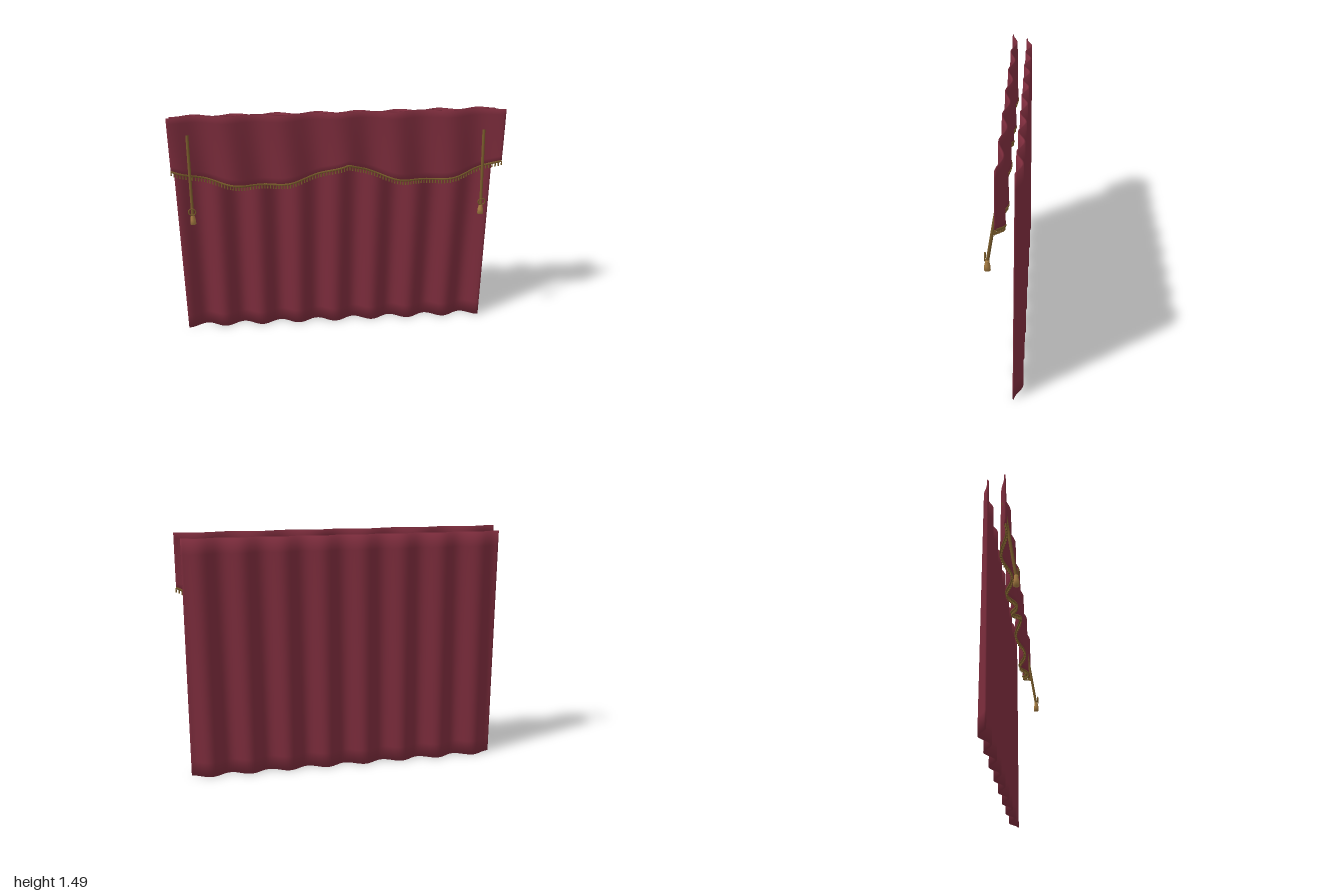
import * as THREE from 'three';
import { mergeGeometries, mergeVertices } from 'three/addons/utils/BufferGeometryUtils.js';

const red = new THREE.MeshStandardMaterial({ color: 0x7c2c3c });
red.name = 'burgundy velvet';
const olive = new THREE.MeshStandardMaterial({ color: 0x76592a });
olive.name = 'dull gold cord';
const gold = new THREE.MeshStandardMaterial({ color: 0xa67c42 });
gold.name = 'gold tassel';

function part(name, geometry, material) {
  const mesh = new THREE.Mesh(geometry, material);
  mesh.name = name;
  return mesh;
}

// Thin closed cloth slab; place(u, v) gives the centre of the cloth, u and v in 0..1
function cloth(place, columns, rows, thickness, hemSoftness) {
  const box = new THREE.BoxGeometry(1, 1, 1, columns, rows, 1);
  box.deleteAttribute('normal');
  box.deleteAttribute('uv');
  const geometry = mergeVertices(box);
  const pos = geometry.attributes.position;
  const heights = [];
  for (let i = 0; i < pos.count; i++) {
    const v = pos.getY(i) + 0.5;
    const p = place(pos.getX(i) + 0.5, v);
    heights.push(v);
    pos.setXYZ(i, p.x, p.y, p.z + pos.getZ(i) * thickness);
  }
  geometry.computeVertexNormals();
  // Soft rounding at the top and bottom hems
  const normal = geometry.attributes.normal;
  const n = new THREE.Vector3();
  heights.forEach((v, i) => {
    if (v > 0.001 && v < 0.999) return;
    n.fromBufferAttribute(normal, i);
    n.y += v > 0.5 ? hemSoftness : -hemSoftness;
    n.normalize();
    normal.setXYZ(i, n.x, n.y, n.z);
  });
  return geometry;
}

// Back curtain: eight folds, deeper towards the floor
function curtainPoint(u, v) {
  const x = -0.99 + 1.95 * u;
  const depth = 0.025 - 0.008 * v;
  const phase = u * 8 * Math.PI * 2 - 0.25 + 0.4 * (0.5 - v);
  return new THREE.Vector3(x, 1.465 * v, -0.075 + depth * Math.cos(phase));
}

// Valance: two scallops meeting just right of the middle, six soft folds
function hemHeight(x) {
  const meet = 0.06;
  const t = x < meet ? (x + 1) / (meet + 1) : (x - meet) / (1 - meet);
  return 1.165 - 0.122 * Math.sin(Math.PI * THREE.MathUtils.clamp(t, 0, 1));
}
function valancePoint(u, v) {
  const x = -0.995 + 1.99 * u;
  const hem = hemHeight(x);
  const depth = 0.024 - 0.008 * v;
  const phase = u * 6 * Math.PI * 2 - 0.7 * (1 - v);
  return new THREE.Vector3(x, hem + (1.49 - hem) * v, 0.021 + depth * Math.cos(phase));
}

// Cord along the valance hem with a row of short hanging threads
function fringe() {
  const group = new THREE.Group();
  group.name = 'fringe';
  const points = [];
  for (let i = 0; i <= 120; i++) points.push(valancePoint(i / 120, 0));
  const path = new THREE.CatmullRomCurve3(points);
  group.add(part('fringeCord', new THREE.TubeGeometry(path, 240, 0.008, 6), olive));
  const threads = [];
  const count = 116;
  for (let i = 0; i <= count; i++) {
    const p = valancePoint(i / count, 0);
    const thread = new THREE.CylinderGeometry(0.003, 0.005, 0.026, 6);
    threads.push(thread.translate(p.x, p.y - 0.014, p.z + 0.003));
  }
  group.add(part('fringeThreads', mergeGeometries(threads), olive));
  return group;
}

// Slanting pull cord with a ring and a bell-shaped tassel
function pullCord(name, x, top) {
  const group = new THREE.Group();
  group.name = name;
  const path = new THREE.LineCurve3(new THREE.Vector3(x, top, 0.018), new THREE.Vector3(x, 0.895, 0.09));
  group.add(part('cord', new THREE.TubeGeometry(path, 8, 0.009, 8), olive));
  const ring = part('knotRing', new THREE.TorusGeometry(0.021, 0.004, 6, 20), olive);
  ring.position.set(x, 0.922, 0.103);
  const profile = [[0, 0], [0.018, 0], [0.016, 0.03], [0.011, 0.055], [0.012, 0.062], [0, 0.068]]
    .map(([r, y]) => new THREE.Vector2(r, y));
  const tassel = part('tassel', new THREE.LatheGeometry(profile, 14), gold);
  tassel.position.set(x, 0.838, 0.091);
  group.add(ring, tassel);
  return group;
}

export function createModel() {
  const model = new THREE.Group();
  model.name = 'stageCurtain';
  model.add(part('backCurtain', cloth(curtainPoint, 160, 16, 0.008, 0.8), red));
  model.add(part('valance', cloth(valancePoint, 160, 10, 0.008, 0.3), red));
  model.add(fringe());
  model.add(pullCord('rightPullCord', -0.885, 1.38));
  model.add(pullCord('leftPullCord', 0.875, 1.36));
  return model;
}
